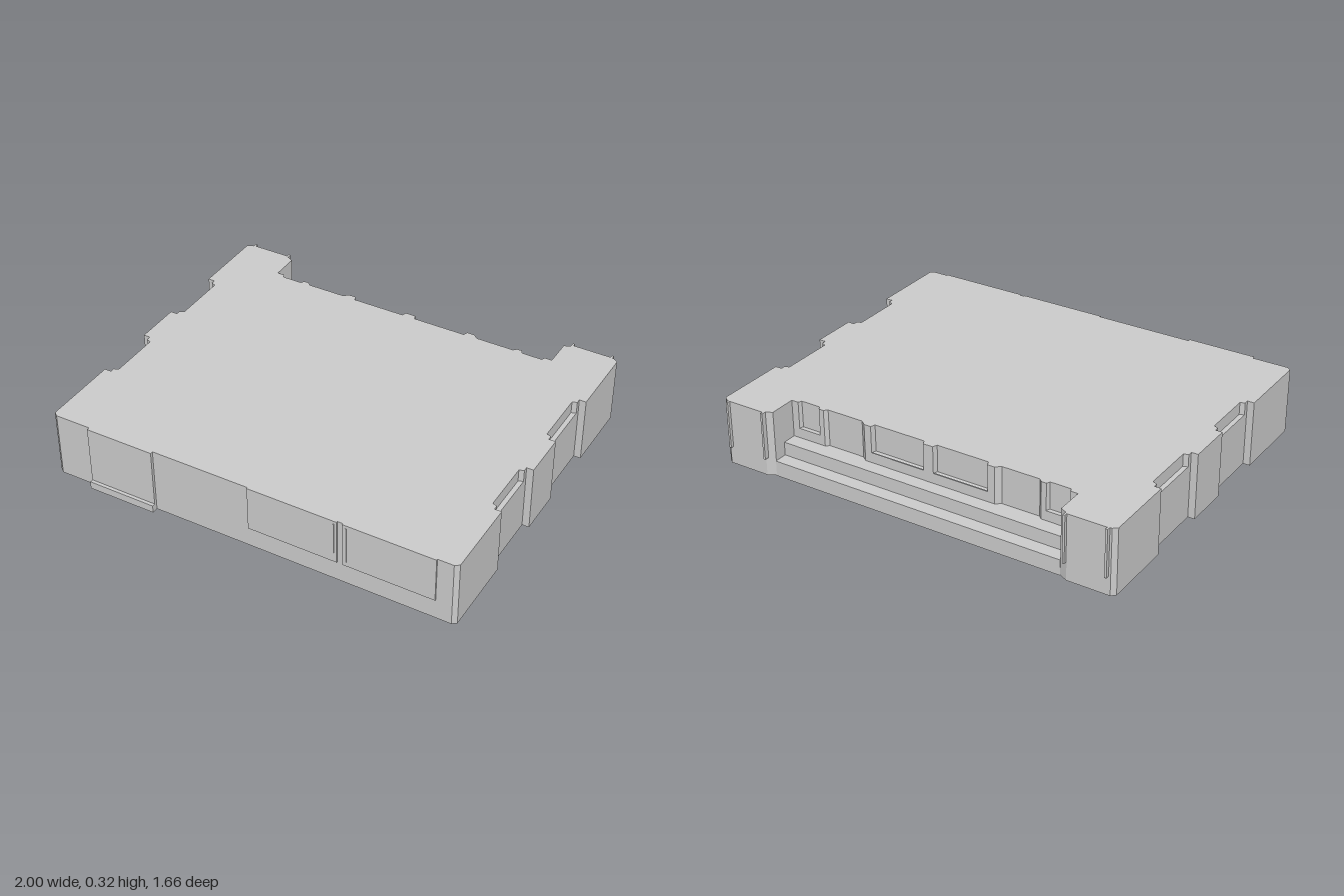
import * as THREE from 'three';

const material = new THREE.MeshStandardMaterial({ color: 0xcccccc, flatShading: true, side: THREE.DoubleSide });

const ROOF = 0.32, SIDE_SILL = 0.26, BACK_SILL = 0.19, STEP_1 = 0.075, STEP_2 = 0.14;
const SIDE_BAYS = [[0.41, 0.1], [-0.125, -0.45]];
const BACK_WINDOWS = [[0.7, 0.585], [0.3, 0.025]];

// Rear edge of one half, from the wing towards the middle
function rearEdge(kind) {
  if (kind === 'step1') return [[0.735, -0.8]];
  if (kind === 'step2') return [[0.735, -0.735]];
  const notch = ([a, b], z) => kind === 'windows'
    ? [[a, z], [a - 0.008, -0.648], [b + 0.008, -0.648], [b, z]] : [];
  return [
    [0.735, -0.665], ...notch(BACK_WINDOWS[0], -0.665),
    [0.56, -0.665], [0.545, -0.65], [0.36, -0.65], [0.335, -0.67],
    ...notch(BACK_WINDOWS[1], -0.67),
  ];
}

// Closed plan outline [x, z]: half a plan, its mirror, and the front bay
function outline(rear, sideWindows) {
  const half = [[0.98, 0.8], [1, 0.785]];
  for (const [a, b] of SIDE_BAYS) {
    half.push([1, a], [0.967, a]);
    if (sideWindows) {
      half.push([0.967, a - 0.022], [0.945, a - 0.03], [0.945, b + 0.03], [0.967, b + 0.022]);
    }
    half.push([0.967, b], [1, b]);
  }
  half.push([1, -0.8], [0.98, -0.817], [0.775, -0.817], [0.735, -0.797], ...rearEdge(rear));
  const mirrored = half.map(([x, z]) => [-x, z]).reverse();
  return [...half, ...mirrored, [-0.805, 0.8], [-0.805, 0.814], [-0.47, 0.814], [-0.47, 0.8]];
}

// Upright ribbon along a closed outline
function wallGeometry(pts, y0, y1) {
  const pos = [];
  pts.forEach(([ax, az], i) => {
    const [bx, bz] = pts[(i + 1) % pts.length];
    pos.push(ax, y0, az, bx, y0, bz, bx, y1, bz, ax, y0, az, bx, y1, bz, ax, y1, az);
  });
  const g = new THREE.BufferGeometry();
  g.setAttribute('position', new THREE.Float32BufferAttribute(pos, 3));
  g.computeVertexNormals();
  return g;
}

// Level surface filling an outline
function levelGeometry(pts, y) {
  const shape = new THREE.Shape(pts.map(([x, z]) => new THREE.Vector2(x, -z)));
  return new THREE.ShapeGeometry(shape).rotateX(-Math.PI / 2).translate(0, y, 0);
}

const rect = (x0, x1, z0, z1) => [[x0, z1], [x1, z1], [x1, z0], [x0, z0]];

export function createModel() {
  const model = new THREE.Group();
  model.name = 'building';
  const add = (name, geometry) => {
    const mesh = new THREE.Mesh(geometry, material);
    mesh.name = name;
    model.add(mesh);
  };
  const box = (name, x0, x1, y0, y1, z0, z1) => add(name,
    new THREE.BoxGeometry(x1 - x0, y1 - y0, z1 - z0)
      .translate((x0 + x1) / 2, (y0 + y1) / 2, (z0 + z1) / 2));

  // Hollow walls in bands, open underneath
  const bands = [
    ['baseWall', 0, STEP_1, 'step1', false],
    ['lowerWall', STEP_1, STEP_2, 'step2', false],
    ['middleWall', STEP_2, BACK_SILL, 'plain', false],
    ['windowWall', BACK_SILL, SIDE_SILL, 'windows', false],
    ['upperWall', SIDE_SILL, ROOF, 'windows', true],
  ];
  for (const [name, y0, y1, rear, side] of bands) add(name, wallGeometry(outline(rear, side), y0, y1));
  add('roof', levelGeometry(outline('windows', true), ROOF));

  // Rear terraces
  add('lowerTerrace', levelGeometry(rect(-0.735, 0.735, -0.8, -0.735), STEP_1));
  add('upperTerrace', levelGeometry(rect(-0.735, 0.735, -0.735, -0.65), STEP_2));

  for (const s of [-1, 1]) {
    const span = (a, b) => [Math.min(s * a, s * b), Math.max(s * a, s * b)];
    // Window sills
    for (const [a, b] of SIDE_BAYS) {
      add('sideSill', levelGeometry(rect(...span(0.945, 0.967), b + 0.022, a - 0.022), SIDE_SILL));
    }
    for (const [a, b] of BACK_WINDOWS) {
      add('rearSill', levelGeometry(rect(...span(b, a), -0.668, -0.648), BACK_SILL));
    }
    // Rear wing panel with a rib on each edge
    box('wingPanel', ...span(0.775, 0.965), 0.09, ROOF, -0.82, -0.815);
    for (const x of [0.77, 0.965]) box('wingRib', ...span(x - 0.005, x + 0.005), 0.09, ROOF, -0.835, -0.81);
  }

  // Front panels with slim handles
  for (const [x0, x1, handle] of [[0.01, 0.445, 0.43], [0.47, 0.905, 0.488]]) {
    box('frontPanel', x0, x1, 0.1, ROOF, 0.797, 0.807);
    box('panelHandle', handle - 0.003, handle + 0.003, 0.12, 0.305, 0.805, 0.81);
  }

  // Doorstep of the front bay
  box('doorstep', -0.805, -0.47, 0, 0.037, 0.81, 0.83);
  return model;
}
